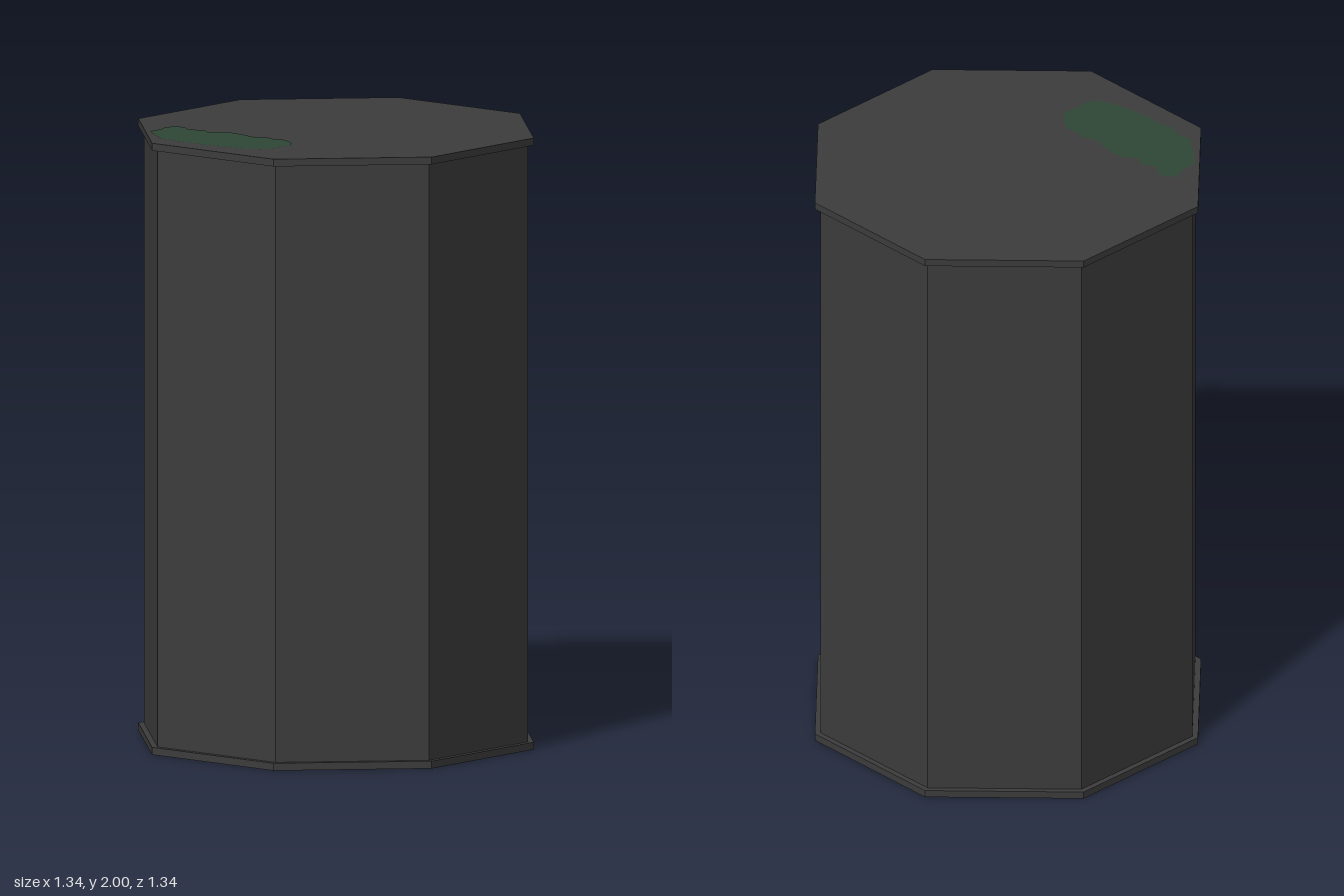
import * as THREE from 'three';

export function createModel() {
  const model = new THREE.Group();
  const charcoal = new THREE.MeshStandardMaterial({ name: 'charcoal', color: 0x3c3c3c, flatShading: true });
  const green = new THREE.MeshStandardMaterial({ name: 'mossGreen', color: 0x2e4736, flatShading: true });

  const add = (name, geometry, material, y) => {
    const mesh = new THREE.Mesh(geometry, material);
    mesh.name = name;
    mesh.position.y = y;
    model.add(mesh);
  };

  // Octagonal drum with a slim projecting rim at each end
  const height = 2, rim = 0.024, bodyRadius = 0.65, rimRadius = 0.67;
  add('body', new THREE.CylinderGeometry(bodyRadius, bodyRadius, height - 2 * rim, 8, 1, true), charcoal, height / 2);
  for (const [name, y] of [['bottomRim', rim / 2], ['topRim', height - rim / 2]]) {
    add(name, new THREE.CylinderGeometry(rimRadius, rimRadius, rim, 8), charcoal, y);
  }

  // Ragged stain lying on the lid, outlined as x, z
  const outline = [
    [-0.53, 0.15], [-0.49, 0.13], [-0.46, 0.15], [-0.445, 0.18], [-0.39, 0.175], [-0.37, 0.21],
    [-0.33, 0.195], [-0.29, 0.2], [-0.24, 0.23], [-0.2, 0.26], [-0.15, 0.26], [-0.12, 0.285],
    [-0.08, 0.29], [-0.06, 0.32], [-0.04, 0.35], [-0.03, 0.39], [-0.055, 0.43], [-0.07, 0.48],
    [-0.1, 0.5], [-0.15, 0.5], [-0.2, 0.49], [-0.25, 0.48], [-0.3, 0.465], [-0.34, 0.44],
    [-0.39, 0.435], [-0.43, 0.4], [-0.47, 0.39], [-0.5, 0.34], [-0.53, 0.29], [-0.55, 0.25], [-0.53, 0.2],
  ];
  const shape = new THREE.Shape(outline.map(([x, z]) => new THREE.Vector2(x, -z)));
  add('lidStain', new THREE.ShapeGeometry(shape).rotateX(-Math.PI / 2), green, height + 0.002);

  return model;
}
